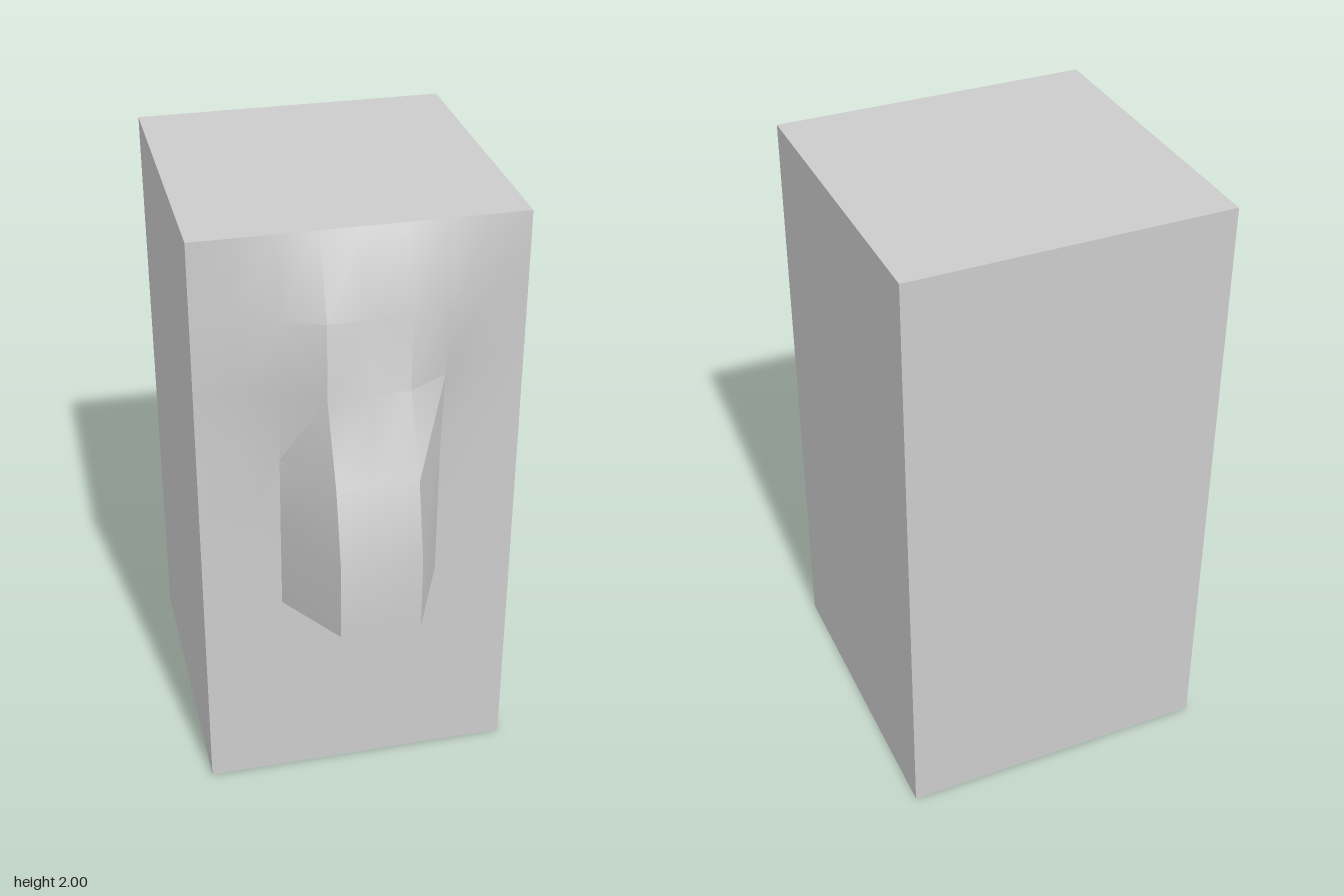
import * as THREE from 'three';
import { toCreasedNormals } from 'three/addons/utils/BufferGeometryUtils.js';

const W = 1.03, H = 2, FRONT = 0.37, BACK = -0.66;

// Rows from top to bottom: height, then relief depth at columns 0/1, 2, 3 and 4 steps from the middle
const ROWS = [
  [2.0, 0, 0, 0, 0],
  [1.75, 0.105, 0.065, 0.025, 0],
  [1.5, 0.105, 0.03, 0, 0],
  [1.25, 0.225, 0.005, 0, 0],
  [1.0, 0.29, 0, 0, 0],
  [0.755, 0.29, 0, 0, 0],
  [0.7, 0, 0, 0, 0],
  [0.35, 0, 0, 0, 0],
  [0, 0, 0, 0, 0],
];

export function createModel() {
  const group = new THREE.Group();
  const material = new THREE.MeshStandardMaterial({ color: 0xcccccc });

  // Plain block, without its front face (indices 24 to 29)
  const box = new THREE.BoxGeometry(W, H, FRONT - BACK);
  box.translate(0, H / 2, (FRONT + BACK) / 2);
  const index = Array.from(box.index.array);
  index.splice(24, 6);
  box.setIndex(index);
  box.clearGroups();
  const block = new THREE.Mesh(box, material);
  block.name = 'block';
  group.add(block);

  // Front face: an 8 by 8 grid pushed out into a sloping brow and a nose-like ridge
  const grid = new THREE.PlaneGeometry(W, H, 8, 8);
  const pos = grid.attributes.position;
  for (let i = 0; i < pos.count; i++) {
    const row = ROWS[Math.floor(i / 9)];
    const step = Math.abs((i % 9) - 4);
    pos.setY(i, row[0]);
    pos.setZ(i, FRONT + row[Math.max(step, 1)]);
  }
  grid.deleteAttribute('normal');
  grid.deleteAttribute('uv');
  const relief = new THREE.Mesh(toCreasedNormals(grid, Math.PI / 6), material);
  relief.name = 'frontRelief';
  group.add(relief);

  return group;
}
